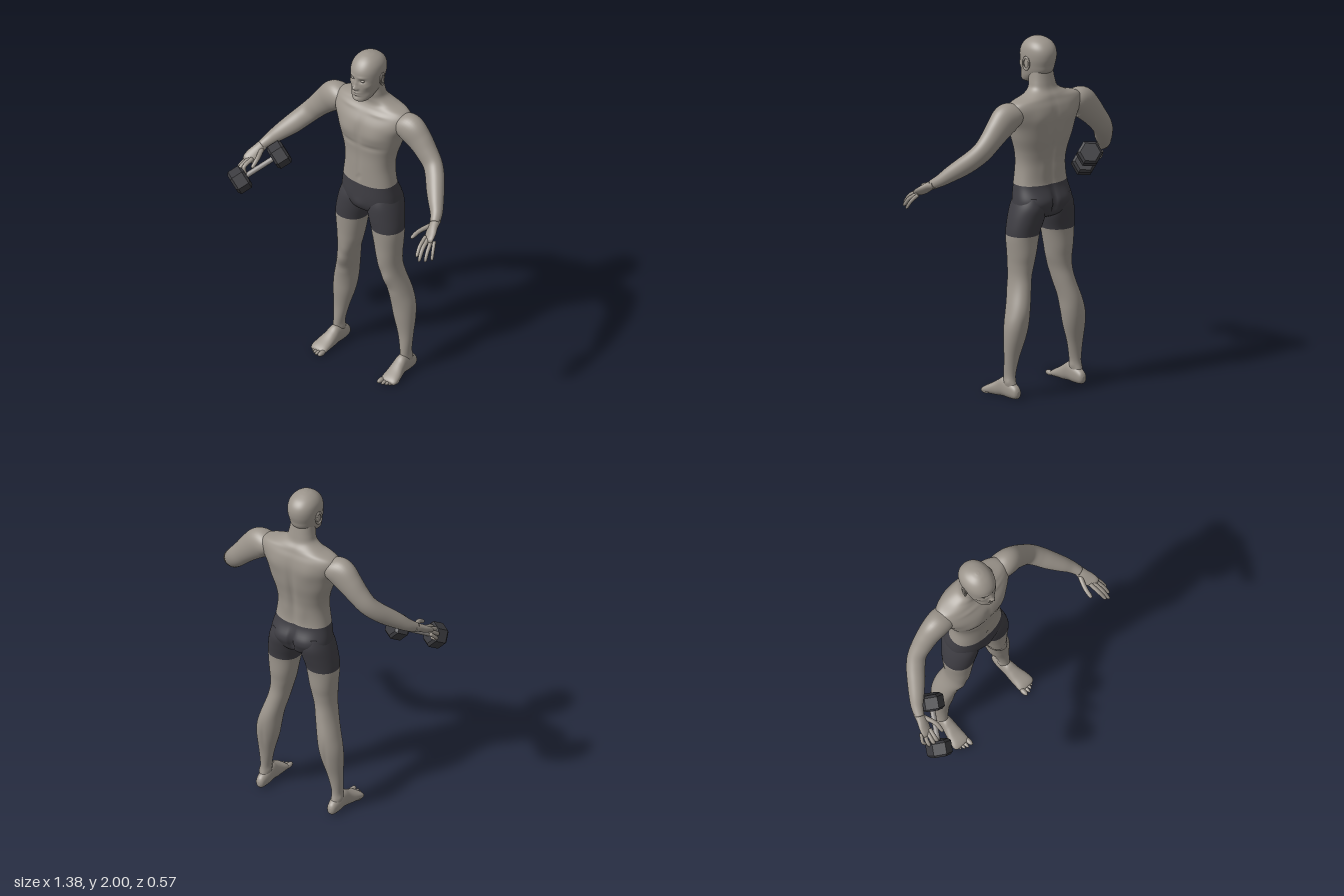
import * as THREE from 'three';

const mat = (name, color) => Object.assign(new THREE.MeshStandardMaterial({ color }), { name });
const skin = mat('skin', 0x9c958c);
const shorts = mat('shorts', 0x3e3d43);
const iron = mat('iron', 0x3a3a3e);
const steel = mat('steel', 0x8f8b88);
const Y = new THREE.Vector3(0, 1, 0), Z = new THREE.Vector3(0, 0, 1);

// Smooth interpolation through rows of numbers, n steps for each interval
function sample(keys, n) {
  const rows = [], last = keys.length - 1;
  for (let i = 0; i < last; i++) {
    const [a, b, c, d] = [keys[Math.max(i - 1, 0)], keys[i], keys[i + 1], keys[Math.min(i + 2, last)]];
    for (let k = 0; k < n; k++) {
      const t = k / n;
      rows.push(b.map((v, j) => {
        const cubic = 3 * (v - c[j]) + d[j] - a[j];
        const square = 2 * a[j] - 5 * v + 4 * c[j] - d[j];
        return v + 0.5 * t * (c[j] - a[j] + t * (square + t * cubic));
      }));
    }
  }
  return rows.concat([keys[last]]);
}

// Closed skin over sections [x, y, z, ru, rv]. bumps: [x, y, z, sx, sy, sz, push], alike on both sides.
// With split, the intervals before that key take mats[0], the rest mats[1].
function loft(name, keys, { n = 6, cols = 32, e = 1, axis, ref = Z, bumps = [], floor = -1, mats = [skin], split } = {}) {
  const rows = sample(keys, n), pos = [], idx = [];
  const centers = rows.map(r => new THREE.Vector3(r[0], r[1], r[2]));
  const pw = v => Math.sign(v) * Math.abs(v) ** e;
  rows.forEach((r, i) => {
    const t = axis || centers[Math.min(i + 1, rows.length - 1)].clone().sub(centers[Math.max(i - 1, 0)]).normalize();
    const u = ref.clone().cross(t).normalize(), v = t.clone().cross(u);
    for (let j = 0; j < cols; j++) {
      const a = j / cols * Math.PI * 2;
      const out = u.clone().multiplyScalar(pw(Math.cos(a)) * r[3]).addScaledVector(v, pw(Math.sin(a)) * r[4]);
      const p = centers[i].clone().add(out);
      out.normalize();
      let push = 0;
      for (const [x, y, z, sx, sy, sz, amount] of bumps) {
        const dx = (Math.abs(p.x) - x) / sx, dy = (p.y - y) / sy, dz = (p.z - z) / sz;
        push += amount * Math.exp(-(dx * dx + dy * dy + dz * dz));
      }
      p.addScaledVector(out, push);
      pos.push(p.x, Math.max(p.y, floor), p.z);
    }
  });
  const end = rows.length - 1, c0 = rows.length * cols;
  pos.push(...centers[0].toArray(), ...centers[end].toArray());
  for (let j = 0; j < cols; j++) idx.push(c0, (j + 1) % cols, j);
  for (let i = 0; i < end; i++) for (let j = 0; j < cols; j++) {
    const a = i * cols + j, b = i * cols + (j + 1) % cols;
    idx.push(a, b, b + cols, a, b + cols, a + cols);
  }
  for (let j = 0; j < cols; j++) idx.push(c0 + 1, end * cols + j, end * cols + (j + 1) % cols);
  const geo = new THREE.BufferGeometry();
  geo.setAttribute('position', new THREE.Float32BufferAttribute(pos, 3));
  geo.setIndex(idx);
  geo.computeVertexNormals();
  if (split) {
    const cut = cols * 3 + split * n * cols * 6;
    geo.addGroup(0, cut, 0);
    geo.addGroup(cut, idx.length - cut, 1);
  }
  const mesh = new THREE.Mesh(geo, split ? mats : mats[0]);
  mesh.name = name;
  return mesh;
}

// Level section from its limits: height, x from, x to, front z, back z
const level = ([y, x0, x1, zf, zb]) => [(x0 + x1) / 2, y, (zf + zb) / 2, Math.abs(x1 - x0) / 2, (zf - zb) / 2];
const centred = ([y, w, zf, zb]) => level([y, -w, w, zf, zb]);

function ellipsoid(name, x, y, z, rx, ry, rz) {
  const m = new THREE.Mesh(new THREE.SphereGeometry(1, 16, 12), skin);
  m.name = name;
  m.position.set(x, y, z);
  m.scale.set(rx, ry, rz);
  return m;
}

const torso = () => loft('torsoAndShorts', [
  [0.985, 0.05, -0.10, -0.20], [1.01, 0.13, -0.065, -0.25], [1.05, 0.175, -0.048, -0.272], [1.10, 0.178, -0.042, -0.282],
  [1.185, 0.163, -0.045, -0.25], [1.29, 0.150, -0.046, -0.25], [1.37, 0.160, -0.047, -0.262], [1.45, 0.187, -0.042, -0.278],
  [1.52, 0.208, -0.040, -0.286], [1.58, 0.235, -0.048, -0.288], [1.63, 0.245, -0.075, -0.280], [1.665, 0.22, -0.10, -0.266],
  [1.69, 0.14, -0.11, -0.255], [1.72, 0.088, -0.107, -0.235], [1.76, 0.074, -0.10, -0.225], [1.83, 0.064, -0.10, -0.212],
].map(centred), {
  axis: Y, cols: 96, n: 7, e: 0.87, mats: [shorts, skin], split: 4,
  bumps: [
    [0.09, 1.515, -0.04, 0.07, 0.05, 0.08, 0.011],    // chest
    [0, 1.52, -0.03, 0.013, 0.08, 0.05, -0.007],
    [0.08, 1.44, -0.04, 0.07, 0.014, 0.06, -0.006],
    [0.1, 1.645, -0.08, 0.06, 0.010, 0.05, 0.005],    // collarbones
    [0, 1.32, -0.04, 0.012, 0.10, 0.05, -0.004],      // belly line and navel
    [0, 1.225, -0.045, 0.009, 0.011, 0.03, -0.007],
    [0, 1.40, -0.27, 0.020, 0.20, 0.06, -0.014],      // spine
    [0.1, 1.57, -0.28, 0.05, 0.06, 0.05, 0.007],      // shoulder blades
    [0.05, 1.27, -0.25, 0.025, 0.07, 0.04, 0.004],
    [0, 1.07, -0.28, 0.014, 0.07, 0.06, -0.024],      // seat
    [0.085, 1.08, -0.27, 0.05, 0.05, 0.05, 0.006],
    [0, 1.05, -0.045, 0.035, 0.035, 0.03, 0.008],
  ],
});

function head() {
  const g = new THREE.Group();
  g.name = 'head';
  g.add(loft('skullAndFace', [
    [1.732, 0.025, -0.034, -0.08], [1.745, 0.049, -0.022, -0.12], [1.775, 0.065, -0.02, -0.17], [1.81, 0.074, -0.018, -0.221],
    [1.85, 0.082, -0.020, -0.235], [1.885, 0.087, -0.021, -0.244], [1.92, 0.087, -0.025, -0.244], [1.95, 0.080, -0.04, -0.232],
    [1.975, 0.062, -0.063, -0.207], [1.992, 0.035, -0.092, -0.170], [1.999, 0.008, -0.12, -0.14],
  ].map(centred), {
    axis: Y, cols: 96, n: 9, e: 0.93,
    bumps: [
      [0, 1.828, -0.015, 0.012, 0.013, 0.04, 0.022],    // nose
      [0, 1.85, -0.015, 0.009, 0.022, 0.04, 0.010],
      [0.013, 1.823, -0.015, 0.007, 0.008, 0.04, 0.007],
      [0.034, 1.872, -0.03, 0.017, 0.011, 0.04, -0.012], // eye sockets and brows
      [0.03, 1.895, -0.025, 0.022, 0.008, 0.04, 0.004],
      [0.056, 1.838, -0.06, 0.016, 0.016, 0.04, 0.004], // cheeks
      [0.05, 1.795, -0.06, 0.018, 0.022, 0.04, -0.004],
      [0, 1.797, -0.015, 0.022, 0.006, 0.04, 0.007],    // lips and chin
      [0, 1.782, -0.015, 0.020, 0.006, 0.04, 0.007],
      [0, 1.769, -0.015, 0.020, 0.005, 0.04, -0.003],
      [0, 1.75, -0.02, 0.022, 0.012, 0.04, 0.005],
    ],
  }));
  for (const s of [-1, 1]) {
    g.add(ellipsoid('eye', s * 0.033, 1.871, -0.041, 0.013, 0.008, 0.011));
    g.add(ellipsoid('earBowl', s * 0.087, 1.858, -0.137, 0.007, 0.034, 0.018));
    const rim = new THREE.Mesh(new THREE.TorusGeometry(0.02, 0.005, 8, 24), skin);
    rim.name = 'earRim';
    rim.position.set(s * 0.092, 1.86, -0.139);
    rim.rotation.y = Math.PI / 2 + s * 0.3;
    rim.scale.y = 1.65;
    g.add(rim);
  }
  return g;
}

function leg(s) {
  const g = new THREE.Group();
  g.name = s > 0 ? 'leftLeg' : 'rightLeg';
  g.add(loft('legAndShorts', [
    [0.03, 0.207, 0.26, -0.135, -0.23], [0.08, 0.205, 0.262, -0.128, -0.215], [0.13, 0.203, 0.262, -0.13, -0.205],
    [0.23, 0.18, 0.268, -0.135, -0.217], [0.34, 0.147, 0.273, -0.125, -0.243], [0.42, 0.132, 0.267, -0.118, -0.255],
    [0.50, 0.122, 0.245, -0.105, -0.254], [0.60, 0.10, 0.215, -0.083, -0.234], [0.67, 0.085, 0.203, -0.073, -0.222],
    [0.735, 0.066, 0.203, -0.065, -0.224], [0.80, 0.052, 0.208, -0.062, -0.232], [0.905, 0.03, 0.216, -0.055, -0.238],
    [0.99, 0.008, 0.205, -0.05, -0.258], [1.06, 0.006, 0.187, -0.052, -0.272], [1.12, 0.02, 0.165, -0.07, -0.26],
  ].map(([y, a, b, f, k]) => level([y, s * a, s * b, f, k])), {
    axis: Y, cols: 48, n: 5, e: 0.96, mats: [skin, shorts], split: 11,
    bumps: [
      [0.158, 0.60, -0.08, 0.03, 0.035, 0.04, 0.007],   // knee
      [0.165, 0.53, -0.10, 0.04, 0.02, 0.04, -0.004],
      [0.12, 0.68, -0.09, 0.025, 0.04, 0.04, 0.006],
      [0.205, 0.36, -0.25, 0.012, 0.08, 0.04, -0.005],  // calf
      [0.203, 0.10, -0.17, 0.02, 0.02, 0.02, 0.006],    // ankle bones
      [0.262, 0.09, -0.18, 0.02, 0.02, 0.02, 0.006],
    ],
  }));
  g.add(loft('foot', [
    [0.232, 0.034, -0.245, 0.010, 0.012], [0.232, 0.037, -0.230, 0.025, 0.034], [0.232, 0.048, -0.18, 0.034, 0.05],
    [0.233, 0.056, -0.13, 0.036, 0.056], [0.236, 0.042, -0.09, 0.041, 0.047], [0.242, 0.03, -0.05, 0.048, 0.034],
    [0.245, 0.02, -0.01, 0.051, 0.023], [0.243, 0.016, 0.008, 0.045, 0.014], [0.24, 0.015, 0.014, 0.03, 0.006],
  ].map(([x, ...rest]) => [s * x, ...rest]), { axis: Z, ref: Y, e: 0.9, floor: 0.002 }));
  [[0.207, 0.048, 0.0145], [0.231, 0.045, 0.0105], [0.250, 0.036, 0.010], [0.267, 0.024, 0.0095], [0.283, 0.010, 0.009]]
    .forEach(([x, tip, r]) => g.add(ellipsoid('toe', s * x, r + 0.001, tip - 0.03, r, r, 0.03)));
  return g;
}

// curl of 0 leaves the fingers open, 1 wraps their tips round a bar
function arm(s, curl) {
  const g = new THREE.Group();
  g.name = s > 0 ? 'leftArm' : 'rightArm';
  const side = ([x, ...rest]) => [s * x, ...rest];
  g.add(loft('shoulderToWrist', [
    [0.15, 1.605, -0.178, 0.035, 0.05], [0.21, 1.60, -0.177, 0.066, 0.07], [0.265, 1.585, -0.176, 0.086, 0.070],
    [0.32, 1.538, -0.178, 0.077, 0.062], [0.37, 1.485, -0.175, 0.066, 0.056], [0.42, 1.43, -0.165, 0.060, 0.050],
    [0.46, 1.385, -0.135, 0.057, 0.050], [0.50, 1.34, -0.09, 0.054, 0.048], [0.545, 1.295, -0.04, 0.045, 0.042],
    [0.58, 1.258, 0, 0.035, 0.034], [0.605, 1.228, 0.045, 0.027, 0.027],
  ].map(side), { cols: 40 }));
  g.add(loft('palm', [
    [0.600, 1.236, 0.025, 0.027, 0.027], [0.608, 1.215, 0.065, 0.032, 0.022], [0.62, 1.19, 0.10, 0.037, 0.019],
    [0.63, 1.17, 0.132, 0.033, 0.014], [0.632, 1.163, 0.142, 0.020, 0.006],
  ].map(side), { cols: 24 }));
  const grip = [0.585, 1.105, 0.16];
  [
    ['indexFinger', [0.605, 1.180, 0.125], [0.614, 1.155, 0.185], [0.625, 1.11, 0.23], 0.012, 1],
    ['middleFinger', [0.624, 1.175, 0.128], [0.636, 1.145, 0.19], [0.645, 1.09, 0.235], 0.012, 1],
    ['ringFinger', [0.642, 1.168, 0.122], [0.658, 1.13, 0.175], [0.668, 1.085, 0.21], 0.0115, 1],
    ['littleFinger', [0.654, 1.163, 0.11], [0.672, 1.122, 0.145], [0.684, 1.08, 0.17], 0.010, 1],
    ['thumb', [0.588, 1.215, 0.065], [0.564, 1.202, 0.13], [0.555, 1.183, 0.19], 0.0135, 0.3],
  ].forEach(([name, a, b, c, r, bend]) => {
    const tip = c.map((v, i) => v + (grip[i] - v) * 0.6 * curl * bend);
    const near = tip.map((v, i) => v + (b[i] - v) * 0.22);
    g.add(loft(name, [[...a, r, r], [...b, r * 0.95, r * 0.95], [...near, r * 0.8, r * 0.8], [...tip, r * 0.35, r * 0.35]]
      .map(side), { cols: 14, n: 5 }));
  });
  return g;
}

function dumbbell() {
  const g = new THREE.Group();
  g.name = 'dumbbell';
  const a = new THREE.Vector3(-0.497, 1.2, 0.025), b = new THREE.Vector3(-0.62, 1.083, 0.215);
  const axis = b.clone().sub(a), length = axis.length();
  const bar = new THREE.Mesh(new THREE.CylinderGeometry(0.015, 0.015, length, 20), steel);
  bar.name = 'bar';
  g.add(bar);
  // six-sided weights with bevelled rims
  const profile = [[0, -0.045], [0.056, -0.045], [0.071, -0.032], [0.071, 0.032], [0.056, 0.045], [0, 0.045]];
  const geo = new THREE.LatheGeometry(profile.map(p => new THREE.Vector2(...p)), 6).toNonIndexed();
  geo.computeVertexNormals();
  for (const s of [-1, 1]) {
    const weight = new THREE.Mesh(geo, iron);
    weight.name = 'weight';
    weight.position.y = s * length / 2;
    g.add(weight);
  }
  g.position.copy(a).add(b).multiplyScalar(0.5);
  g.quaternion.setFromUnitVectors(Y, axis.normalize());
  return g;
}

export function createModel() {
  const model = new THREE.Group();
  model.name = 'athlete';
  model.add(torso(), head(), leg(1), leg(-1), arm(1, 0), arm(-1, 1), dumbbell());
  return model;
}
